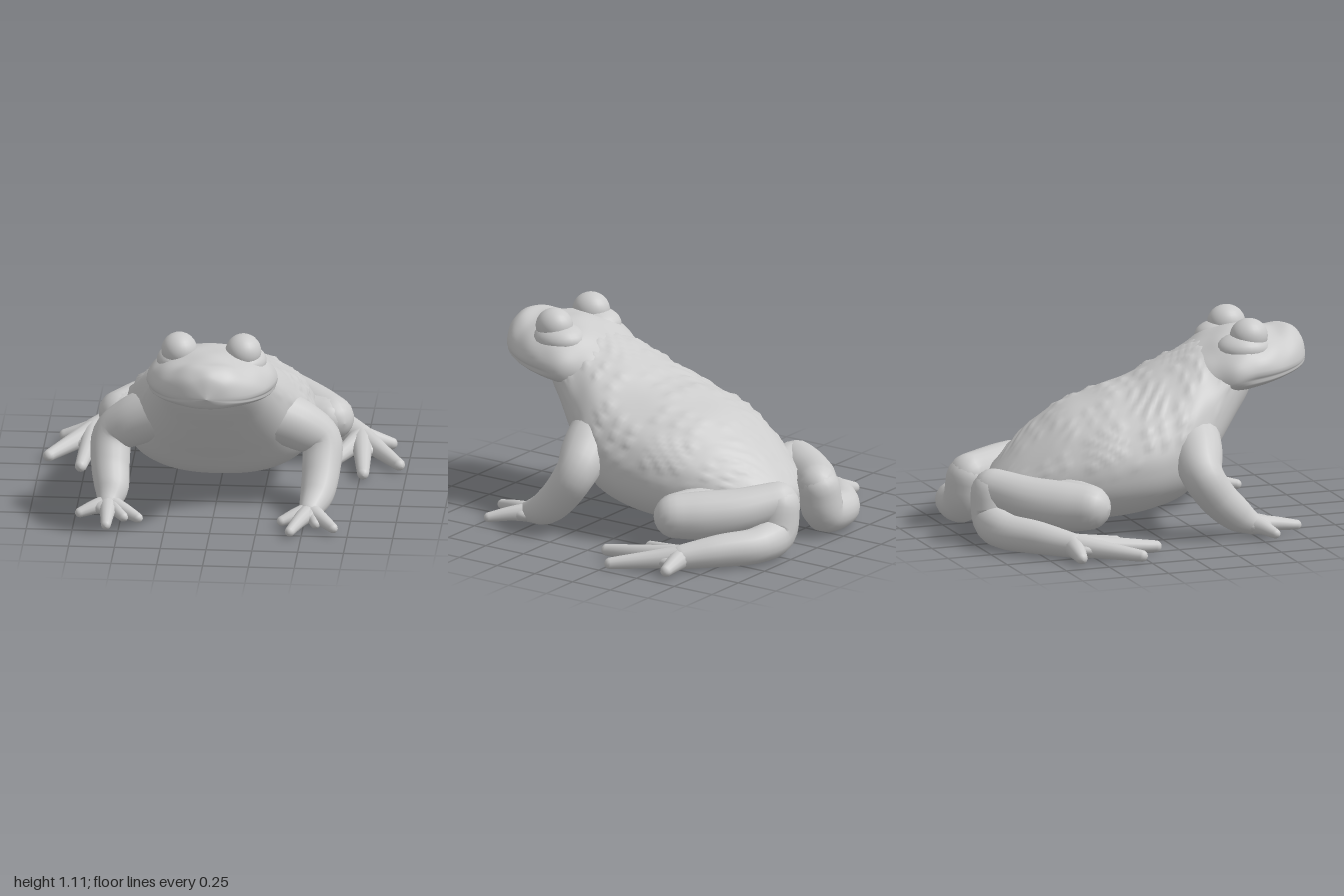
import * as THREE from 'three';

const material = new THREE.MeshStandardMaterial({ color: 0xcccccc, roughness: 0.8 });
const V = (x, y, z) => new THREE.Vector3(x, y, z);

// Skins a list of closed rings (each an array of Vector3) with smooth normals.
function skin(rings) {
  const n = rings[0].length, pos = [], index = [];
  rings.forEach((ring) => ring.forEach((p) => pos.push(p.x, p.y, p.z)));
  for (let i = 0; i < rings.length - 1; i++) {
    for (let j = 0; j < n; j++) {
      const a = i * n + j, b = i * n + (j + 1) % n;
      index.push(a, b, a + n, b, b + n, a + n);
    }
  }
  const g = new THREE.BufferGeometry();
  g.setAttribute('position', new THREE.Float32BufferAttribute(pos, 3));
  g.setIndex(index);
  g.computeVertexNormals();
  return g;
}

// Loft along z through rows of [z, halfWidth, top, mid, bottom]; the lower half is fuller.
function loft(rows, count, sides, shape) {
  const a = new THREE.CatmullRomCurve3(rows.map((r) => V(r[0], r[1], r[3])));
  const b = new THREE.CatmullRomCurve3(rows.map((r) => V(r[0], r[2], r[4])));
  const rings = [];
  for (let i = 0; i <= count; i++) {
    const t = i / count, p = a.getPoint(t), q = b.getPoint(t), ring = [];
    for (let j = 0; j < sides; j++) {
      const ang = j / sides * Math.PI * 2, c = Math.cos(ang), s = Math.sin(ang);
      const k = i === 0 || i === count ? 1 : shape(ang, p.x);
      const full = (v) => (s < 0 ? Math.sign(v) * Math.abs(v) ** 0.84 : v);
      const h = s > 0 ? q.y - p.z : p.z - q.z;
      ring.push(V(p.y * full(c) * k, p.z + h * full(s) * k, p.x));
    }
    rings.push(ring);
  }
  return skin(rings);
}

// Round-ended limb through points of [x, y, z, radius]; side mirrors x.
function limb(points, side, sides = 18) {
  const curve = new THREE.CatmullRomCurve3(points.map((p) => V(p[0] * side, p[1], p[2])));
  const radii = new THREE.CatmullRomCurve3(points.map((p, i) => V(i, p[3], 0)));
  const steps = (points.length - 1) * 6, caps = 5, rings = [];
  const frames = curve.computeFrenetFrames(steps);
  const addRing = (i, angle) => {
    // Frames are spaced by arc length, so match the radius to that parameter.
    const u = i / steps, r = radii.getPoint(curve.getUtoTmapping(u)).y;
    const c = curve.getPointAt(u).addScaledVector(frames.tangents[i], r * Math.sin(angle));
    const ring = [];
    for (let j = 0; j < sides; j++) {
      const a = j / sides * Math.PI * 2, k = r * Math.max(Math.cos(angle), 0.001);
      ring.push(c.clone()
        .addScaledVector(frames.normals[i], Math.cos(a) * k)
        .addScaledVector(frames.binormals[i], Math.sin(a) * k));
    }
    rings.push(ring);
  };
  for (let k = caps; k > 0; k--) addRing(0, -k / caps * Math.PI / 2);
  for (let i = 0; i <= steps; i++) addRing(i, 0);
  for (let k = 1; k <= caps; k++) addRing(steps, k / caps * Math.PI / 2);
  return skin(rings);
}

function add(parent, name, geometry) {
  const mesh = new THREE.Mesh(geometry, material);
  mesh.name = name;
  parent.add(mesh);
  return mesh;
}

function ellipsoid(parent, name, center, size) {
  const mesh = add(parent, name, new THREE.SphereGeometry(1, 24, 16));
  mesh.position.set(...center);
  mesh.scale.set(...size);
}

// Warty skin: bumps over the back that fade out on the belly.
function warts(a, z) {
  const back = THREE.MathUtils.smoothstep(Math.sin(a), -0.1, 0.5);
  const bump = Math.sin(a * 15 + 3 * Math.sin(z * 11)) * Math.sin(z * 37 + 3 * Math.sin(a * 6));
  const lump = Math.sin(a * 7 + z * 9) * Math.sin(z * 15 - a * 3);
  return 1 + back * (0.035 * Math.max(0, bump) ** 2 + 0.012 * lump);
}

// Head: a groove under the widest line makes the mouth, softer lumps shape the crown.
function mouth(a, z) {
  const d = Math.asin(Math.sin(a)) + 0.16;
  const front = THREE.MathUtils.smoothstep(z, 0.48, 0.62);
  const crown = Math.max(0, Math.sin(a)) * Math.sin(a * 7) * Math.sin(z * 31);
  return 1 - 0.045 * front * Math.exp(-(d * d) / 0.008) + 0.02 * crown;
}

// Tapering toes spread from a palm to tips of [x, z].
function toes(parent, name, palm, tips, side, r) {
  const [px, py, pz] = palm;
  for (const [x, z] of tips) {
    add(parent, name, limb([
      [px, py, pz, r],
      [px + (x - px) * 0.45, 0.055, pz + (z - pz) * 0.45, r * 0.75],
      [x, 0.035, z, r * 0.5],
    ], side, 12));
  }
}

export function createModel() {
  const toad = new THREE.Group();
  toad.name = 'toad';

  add(toad, 'body', loft([
    [-0.83, 0.001, 0.24, 0.24, 0.24],
    [-0.78, 0.18, 0.33, 0.24, 0.14],
    [-0.6, 0.345, 0.51, 0.28, 0.085],
    [-0.4, 0.45, 0.65, 0.33, 0.065],
    [-0.2, 0.51, 0.725, 0.37, 0.065],
    [0, 0.525, 0.78, 0.4, 0.09],
    [0.2, 0.485, 0.87, 0.47, 0.15],
    [0.35, 0.395, 0.94, 0.58, 0.31],
    [0.5, 0.31, 0.98, 0.75, 0.5],
    [0.62, 0.23, 0.97, 0.85, 0.68],
    [0.68, 0.001, 0.88, 0.88, 0.88],
  ], 100, 96, warts));

  add(toad, 'head', loft([
    [0.16, 0.001, 0.78, 0.78, 0.78],
    [0.28, 0.22, 0.89, 0.78, 0.66],
    [0.4, 0.3, 0.965, 0.8, 0.66],
    [0.49, 0.35, 1.01, 0.82, 0.695],
    [0.6, 0.355, 1.035, 0.83, 0.715],
    [0.7, 0.335, 1.035, 0.835, 0.735],
    [0.8, 0.29, 1.02, 0.84, 0.76],
    [0.9, 0.215, 1.025, 0.85, 0.785],
    [0.965, 0.125, 0.98, 0.865, 0.805],
    [1.0, 0.001, 0.87, 0.87, 0.87],
  ], 64, 64, mouth));

  // Toe tips differ a little between the two front feet.
  const frontFeet = {
    1: { palm: [0.53, 0.06, 0.53], tips: [[0.385, 0.62], [0.44, 0.78], [0.57, 0.65], [0.67, 0.71]] },
    [-1]: { palm: [0.57, 0.06, 0.49], tips: [[0.4, 0.63], [0.48, 0.62], [0.565, 0.75], [0.72, 0.57]] },
  };

  for (const side of [1, -1]) {
    const label = side > 0 ? 'left' : 'right';

    // Bulging eye on a low mound
    ellipsoid(toad, label + 'Eye', [0.175 * side, 1.015, 0.62], [0.098, 0.098, 0.105]);
    ellipsoid(toad, label + 'EyeMound', [0.17 * side, 0.95, 0.59], [0.13, 0.085, 0.15]);

    // Front leg
    const front = new THREE.Group();
    front.name = label + 'FrontLeg';
    toad.add(front);
    const { palm, tips } = frontFeet[side];
    add(front, 'arm', limb([
      [0.27, 0.53, 0.25, 0.15],
      [0.44, 0.45, 0.22, 0.14],
      [0.565, 0.355, 0.205, 0.115],
      [0.575, 0.22, 0.295, 0.105],
      [0.56, 0.115, 0.41, 0.092],
      [palm[0], 0.065, palm[2], 0.062],
    ], side));
    ellipsoid(front, 'palm', [palm[0] * side, 0.055, palm[2] + 0.03], [0.085, 0.045, 0.08]);
    toes(front, 'finger', palm, tips, side, 0.055);

    // Folded hind leg
    const hind = new THREE.Group();
    hind.name = label + 'HindLeg';
    toad.add(hind);
    add(hind, 'thigh', limb([
      [0.2, 0.21, -0.62, 0.13], [0.38, 0.21, -0.51, 0.145], [0.55, 0.23, -0.455, 0.125],
    ], side));
    add(hind, 'shank', limb([
      [0.19, 0.29, -0.87, 0.11], [0.36, 0.25, -0.72, 0.127], [0.48, 0.235, -0.58, 0.133],
      [0.575, 0.235, -0.465, 0.122],
    ], side));
    add(hind, 'foot', limb([
      [0.19, 0.27, -0.88, 0.115],
      [0.23, 0.13, -0.885, 0.115],
      [0.39, 0.1, -0.885, 0.1],
      [0.57, 0.09, -0.755, 0.09],
      [0.73, 0.07, -0.61, 0.068],
    ], side));
    ellipsoid(hind, 'sole', [0.765 * side, 0.055, -0.53], [0.08, 0.045, 0.12]);
    toes(hind, 'toe', [0.73, 0.07, -0.61],
      [[0.89, -0.62], [0.955, -0.295], [0.77, -0.145], [0.59, -0.31]], side, 0.066);
  }
  return toad;
}
